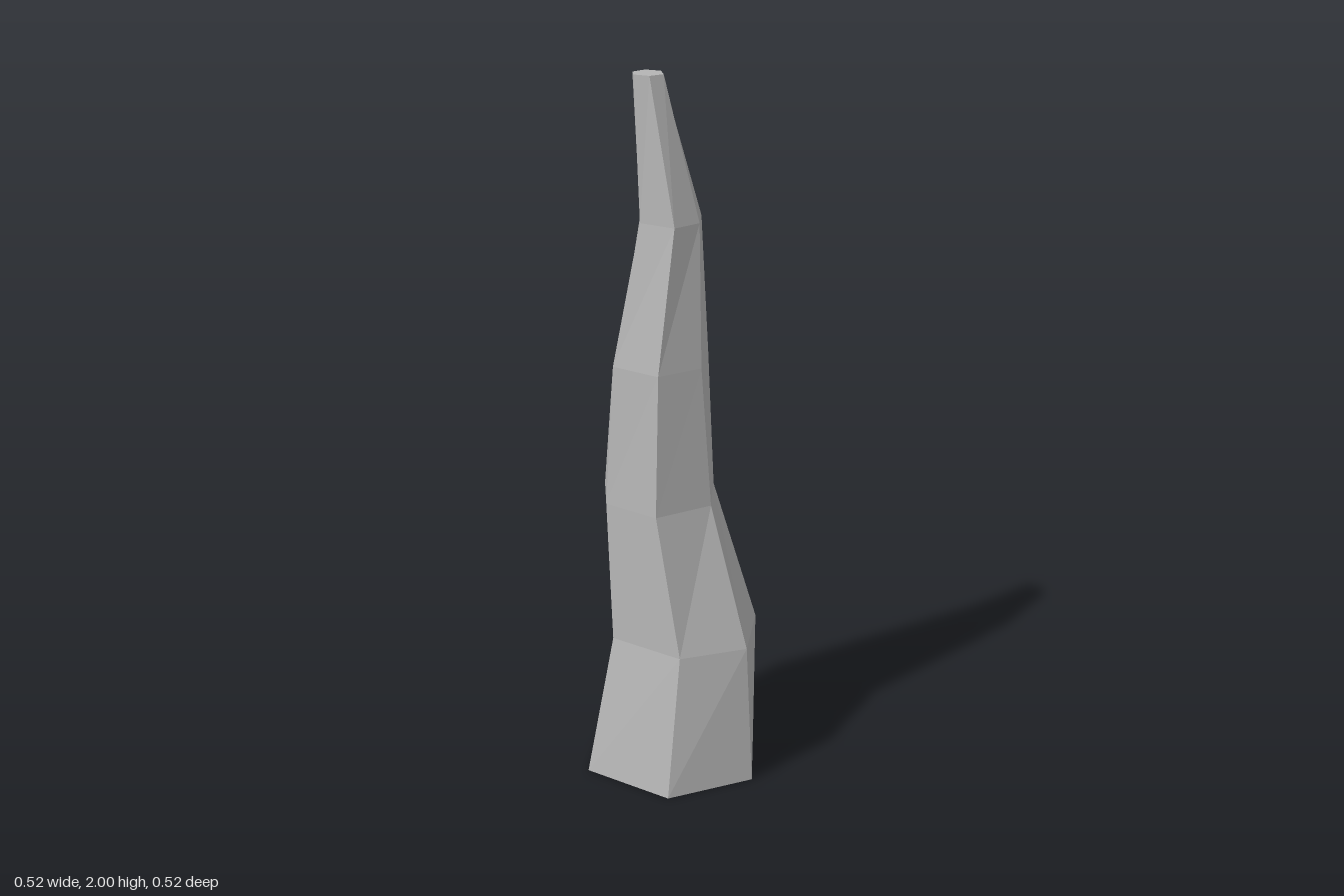
import * as THREE from 'three';

// Six-sided cross-sections from bottom to top, [x, z] corners:
// front left edge, front right edge, right, back right, back left, left
const RINGS = [
  [[-0.195, 0.2], [0.083, 0.258], [0.262, 0.062], [0.172, -0.178], [-0.08, -0.26], [-0.263, -0.05]],
  [[-0.148, 0.12], [0.082, 0.171], [0.231, 0.035], [0.172, -0.185], [-0.027, -0.25], [-0.185, -0.1]],
  [[-0.18, 0.088], [-0.007, 0.132], [0.098, -0.015], [0.04, -0.176], [-0.128, -0.19], [-0.253, -0.06]],
  [[-0.169, 0.057], [-0.017, 0.091], [0.063, -0.025], [0.026, -0.164], [-0.125, -0.193], [-0.21, -0.07]],
  [[-0.113, 0.007], [-0.003, -0.01], [0.037, -0.07], [0.008, -0.153], [-0.1, -0.175], [-0.145, -0.08]],
  [[-0.14, -0.03], [-0.092, -0.028], [-0.067, -0.066], [-0.094, -0.109], [-0.14, -0.109], [-0.16, -0.068]],
];
RINGS[4][0][1] = -0.007;
RINGS[4][1][1] = 0.01;
const STEP = 0.4;
const SIDES = 6;

// Skin the rings with side quads and close both ends
function buildSpire() {
  const positions = [];
  RINGS.forEach((ring, r) => ring.forEach(([x, z]) => positions.push(x, r * STEP, z)));

  const index = [];
  const at = (r, s) => r * SIDES + (s % SIDES);
  const last = RINGS.length - 1;
  for (let r = 0; r < last; r++) {
    for (let s = 0; s < SIDES; s++) {
      const a = at(r + 1, s), b = at(r, s), c = at(r, s + 1), d = at(r + 1, s + 1);
      index.push(a, b, d, b, c, d);
    }
  }
  for (let s = 1; s < SIDES - 1; s++) {
    index.push(at(last, 0), at(last, s), at(last, s + 1));
    index.push(at(0, 0), at(0, s + 1), at(0, s));
  }

  const geometry = new THREE.BufferGeometry();
  geometry.setAttribute('position', new THREE.Float32BufferAttribute(positions, 3));
  geometry.setIndex(index);
  const flat = geometry.toNonIndexed();
  flat.computeVertexNormals();
  return flat;
}

export function createModel() {
  const group = new THREE.Group();
  group.name = 'stoneSpire';

  const stone = new THREE.MeshStandardMaterial({ color: 0xb4b4b4 });
  stone.name = 'stone grey';
  stone.flatShading = true;

  const spire = new THREE.Mesh(buildSpire(), stone);
  spire.name = 'spire';
  group.add(spire);
  return group;
}
